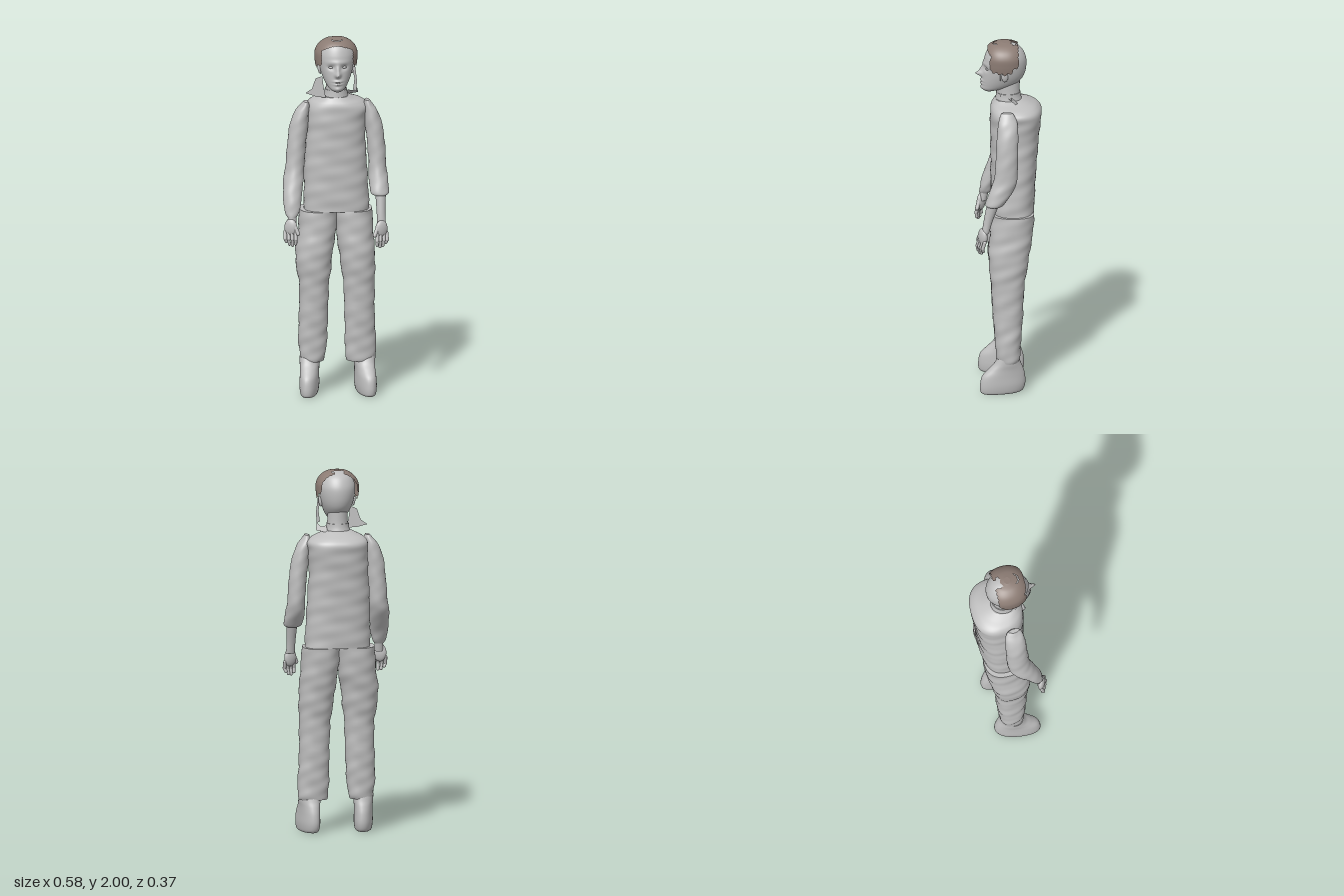
import * as THREE from 'three';

const grey = new THREE.MeshStandardMaterial({ color: 0xbfbfbf });
grey.name = 'plain grey';
const greyThin = new THREE.MeshStandardMaterial({ color: 0xbfbfbf, side: THREE.DoubleSide });
greyThin.name = 'plain grey cloth';
const brown = new THREE.MeshStandardMaterial({ color: 0x8c7c74, side: THREE.DoubleSide });
brown.name = 'hair brown';

// Smooth skin over horizontal rings. Rows rise: [y, xMin, xMax, zMin, zMax].
function loft(rows, { n = 40, sub = 6, square = 1, rule = null, keep = null } = {}) {
  const pos = [], idx = [], steps = (rows.length - 1) * sub;
  const at = (i) => rows[Math.max(0, Math.min(rows.length - 1, i))];
  const cr = (a, b, c, d, t) => 0.5 * (2 * b + (c - a) * t + (2 * a - 5 * b + 4 * c - d) * t * t
    + (3 * b - a - 3 * c + d) * t * t * t);
  const bend = (v) => Math.sign(v) * Math.abs(v) ** square;
  for (let s = 0; s <= steps; s++) {
    const i = Math.min(Math.floor(s / sub), rows.length - 2), t = s / sub - i;
    const [y, x0, x1, z0, z1] = rows[0].map((_, k) => cr(at(i - 1)[k], at(i)[k], at(i + 1)[k], at(i + 2)[k], t));
    for (let j = 0; j < n; j++) {
      const a = j / n * Math.PI * 2;
      const p = new THREE.Vector3((x0 + x1) / 2 + (x1 - x0) / 2 * bend(Math.cos(a)), y,
        (z0 + z1) / 2 + (z1 - z0) / 2 * bend(Math.sin(a)));
      if (rule) rule(p, a);
      pos.push(p.x, p.y, p.z);
    }
  }
  const point = (k) => new THREE.Vector3().fromArray(pos, k * 3);
  const tri = (a, b, c) => {
    if (!keep || keep(point(a).add(point(b)).add(point(c)).divideScalar(3))) idx.push(a, b, c);
  };
  for (let s = 0; s < steps; s++) for (let j = 0; j < n; j++) {
    const a = s * n + j, b = s * n + (j + 1) % n;
    tri(a, a + n, b);
    tri(b, a + n, b + n);
  }
  // End caps on their own vertices, so their edges stay sharp
  for (const top of [false, true]) {
    const start = top ? steps * n : 0, base = pos.length / 3, mid = new THREE.Vector3();
    for (let j = 0; j < n; j++) {
      const p = point(start + j);
      mid.addScaledVector(p, 1 / n);
      pos.push(p.x, p.y, p.z);
    }
    pos.push(mid.x, mid.y, mid.z);
    for (let j = 0; j < n; j++) {
      const a = base + j, b = base + (j + 1) % n;
      if (top) tri(base + n, b, a); else tri(base + n, a, b);
    }
  }
  const g = new THREE.BufferGeometry();
  g.setAttribute('position', new THREE.Float32BufferAttribute(pos, 3));
  g.setIndex(idx);
  g.computeVertexNormals();
  return g;
}

function add(parent, name, geometry, material = grey) {
  const m = new THREE.Mesh(geometry, material);
  m.name = name;
  parent.add(m);
  return m;
}

function capsule(parent, name, from, to, r) {
  const a = new THREE.Vector3(...from), b = new THREE.Vector3(...to), d = b.clone().sub(a);
  const m = add(parent, name, new THREE.CapsuleGeometry(r, d.length(), 5, 12));
  m.position.copy(a).add(b).multiplyScalar(0.5);
  m.quaternion.setFromUnitVectors(new THREE.Vector3(0, 1, 0), d.normalize());
}

function ball(parent, name, p, r) {
  const m = add(parent, name, new THREE.SphereGeometry(1, 24, 16));
  m.position.set(...p);
  m.scale.set(...r);
  return m;
}

// Soft cloth creases
const cloth = (amount) => (p, a) => {
  const w = amount * (Math.sin(p.y * 47 + 2 * Math.sin(a * 2)) + 0.6 * Math.sin(p.y * 83 + a * 3));
  p.x += w * Math.cos(a);
  p.z += w * Math.sin(a);
};

// Facial relief: [x, y, depth, width, height]
const relief = [
  [0, 1.815, 0.034, 0.014, 0.014], [0, 1.84, 0.017, 0.011, 0.024],
  [-0.036, 1.853, -0.013, 0.019, 0.013], [0.036, 1.853, -0.013, 0.019, 0.013],
  [0, 1.882, 0.005, 0.06, 0.012], [0, 1.778, 0.011, 0.022, 0.007],
  [0, 1.762, 0.010, 0.019, 0.007], [0, 1.77, -0.004, 0.024, 0.003], [0, 1.735, 0.007, 0.02, 0.014],
];
function sculpt(p) {
  if (p.z < 0.04) return;
  let d = 0;
  for (const [x, y, depth, w, h] of relief) {
    d += depth * Math.exp(-(((p.x - 0.01 - x) / w) ** 2) - ((p.y - y) / h) ** 2);
  }
  p.z += d;
}

function buildHead(g) {
  add(g, 'head', loft([
    [1.715, -0.01, 0.03, 0.085, 0.13], [1.73, -0.033, 0.053, 0.03, 0.147], [1.755, -0.052, 0.072, -0.035, 0.149],
    [1.79, -0.068, 0.088, -0.072, 0.147], [1.83, -0.08, 0.1, -0.09, 0.143], [1.88, -0.088, 0.108, -0.096, 0.138],
    [1.92, -0.087, 0.107, -0.09, 0.131], [1.96, -0.07, 0.09, -0.068, 0.112], [1.984, -0.04, 0.06, -0.035, 0.08],
    [1.994, -0.01, 0.03, 0.005, 0.04],
  ], { n: 112, sub: 10, rule: sculpt }));
  add(g, 'neck', loft([
    [1.64, -0.06, 0.08, -0.075, 0.075], [1.7, -0.047, 0.067, -0.06, 0.068], [1.78, -0.045, 0.065, -0.06, 0.08],
  ]));
  for (const s of [-1, 1]) {
    ball(g, 'eye', [0.01 + s * 0.036, 1.853, 0.119], [0.013, 0.007, 0.009]);
    ball(g, 'ear', [0.01 + s * 0.092, 1.825, 0.025], [0.01, 0.03, 0.018]).rotation.z = -s * 0.15;
  }
  // Open cap of hair: bare forehead, ragged lower edge, thin crown
  add(g, 'hair', loft([
    [1.81, -0.095, 0.115, -0.098, 0.14], [1.85, -0.104, 0.122, -0.1, 0.142], [1.89, -0.109, 0.126, -0.1, 0.142],
    [1.93, -0.106, 0.124, -0.096, 0.139], [1.965, -0.085, 0.105, -0.076, 0.122], [1.99, -0.05, 0.07, -0.042, 0.09],
    [2.0, -0.01, 0.03, 0.005, 0.04],
  ], {
    n: 160, sub: 10, square: 0.92,
    keep: (p) => {
      const x = Math.abs(p.x - 0.01), rag = 0.006 * Math.sin(p.z * 190) + 0.004 * Math.sin(p.x * 330);
      const back = p.z < -0.052 + rag + Math.max(0, 1.9 - p.y) * 0.8;
      const low = p.y < 1.84 + rag + Math.abs(p.z - 0.03) * 0.3;
      const forehead = p.z > 0.05 && x < 0.085 && p.y < 1.968 - 3.5 * x * x;
      const front = p.z > 0.118 + rag * 0.3;
      const crown = x < 0.028 + rag && p.z < -0.018 + x * 0.5;
      const crescent = Math.abs(Math.hypot(x, (p.z - 0.05) * 0.9) - 0.032) < 0.0025 && p.z > 0.065;
      return !(back || low || forehead || front || crown || crescent);
    },
  }), brown);
}

// A sheet from a short outline of [x, y], curved gently in z
function sheet(parent, name, outline, zAt) {
  const s = new THREE.Shape(outline.map(([x, y]) => new THREE.Vector2(x, y)));
  const geo = new THREE.ShapeGeometry(s), p = geo.attributes.position;
  for (let i = 0; i < p.count; i++) p.setZ(i, zAt(p.getX(i), p.getY(i)));
  geo.computeVertexNormals();
  add(parent, name, geo, greyThin);
}

function buildTorso(g) {
  add(g, 'torso', loft([
    [1.03, -0.165, 0.195, -0.138, 0.098], [1.15, -0.163, 0.188, -0.143, 0.1], [1.3, -0.16, 0.18, -0.152, 0.1],
    [1.45, -0.15, 0.172, -0.164, 0.102], [1.55, -0.148, 0.178, -0.174, 0.104], [1.605, -0.147, 0.185, -0.178, 0.102],
    [1.635, -0.128, 0.158, -0.155, 0.095], [1.655, -0.09, 0.11, -0.115, 0.085], [1.67, -0.06, 0.08, -0.075, 0.075],
  ], { n: 64, sub: 10, square: 0.8, rule: cloth(0.0016) }));
  add(g, 'collarBand', loft([
    [1.655, -0.06, 0.08, -0.075, 0.075], [1.685, -0.053, 0.073, -0.066, 0.072], [1.708, -0.051, 0.071, -0.063, 0.07],
  ]));
  // Loose collar points and strands beside the neck
  sheet(g, 'collarFlapRight', [[-0.05, 1.67], [-0.1, 1.672], [-0.16, 1.69], [-0.125, 1.715], [-0.105, 1.775],
    [-0.07, 1.79], [-0.062, 1.73]], (x) => 0.05 + (x + 0.1) * 0.3);
  sheet(g, 'collarFlapLeft', [[0.07, 1.66], [0.135, 1.675], [0.125, 1.712], [0.105, 1.69], [0.075, 1.695]],
    (x, y) => -0.05 + (y - 1.66) * 1.2);
  sheet(g, 'sideStrand', [[0.1, 1.71], [0.118, 1.7], [0.122, 1.76], [0.112, 1.84], [0.095, 1.84], [0.108, 1.77]],
    () => 0.05);
}

// Hand with side s; x, y, z is the wrist
function buildHand(parent, s, x, y, z) {
  const hand = new THREE.Group();
  hand.name = s > 0 ? 'leftHand' : 'rightHand';
  hand.position.set(x, y, z);
  const palm = ball(hand, 'palm', [0, -0.055, 0.012], [0.038, 0.05, 0.02]);
  palm.rotation.y = s * 0.5;
  for (let i = 0; i < 4; i++) {
    const fx = s * (0.03 - i * 0.018), fz = 0.002 + i * 0.009, drop = [0.018, 0.004, 0, 0.01][i];
    capsule(hand, 'finger', [fx, -0.078, fz], [fx * 1.05, -0.115, fz + 0.012], 0.0098);
    capsule(hand, 'fingertip', [fx * 1.05, -0.115, fz + 0.012], [fx * 0.9 - s * 0.003, -0.15 + drop, fz + 0.008], 0.0085);
  }
  capsule(hand, 'thumb', [-s * 0.018, -0.035, 0.022], [-s * 0.038, -0.085, 0.036], 0.011);
  parent.add(hand);
}

function buildArms(g) {
  add(g, 'rightSleeve', loft([
    [1.015, -0.265, -0.215, 0.1, 0.155], [1.04, -0.278, -0.2, 0.085, 0.153], [1.1, -0.285, -0.188, 0.055, 0.142],
    [1.2, -0.283, -0.172, -0.015, 0.11], [1.27, -0.27, -0.165, -0.038, 0.088], [1.38, -0.26, -0.158, -0.043, 0.078],
    [1.5, -0.246, -0.145, -0.045, 0.072], [1.58, -0.218, -0.14, -0.043, 0.066], [1.62, -0.185, -0.138, -0.03, 0.055],
    [1.64, -0.168, -0.145, -0.015, 0.045],
  ], { rule: cloth(0.001) }));
  add(g, 'leftSleeve', loft([
    [1.125, 0.21, 0.283, 0.05, 0.13], [1.14, 0.193, 0.295, 0.032, 0.136], [1.2, 0.187, 0.292, -0.012, 0.115],
    [1.27, 0.188, 0.284, -0.038, 0.09], [1.38, 0.182, 0.279, -0.043, 0.078], [1.5, 0.17, 0.264, -0.045, 0.072],
    [1.58, 0.163, 0.237, -0.043, 0.066], [1.62, 0.162, 0.21, -0.03, 0.055], [1.645, 0.167, 0.192, -0.015, 0.045],
  ], { rule: cloth(0.001) }));
  add(g, 'leftForearm', loft([
    [0.97, 0.226, 0.274, 0.115, 0.155], [1.04, 0.224, 0.272, 0.095, 0.145], [1.15, 0.218, 0.278, 0.055, 0.125],
  ]));
  add(g, 'rightWrist', loft([[0.97, -0.266, -0.218, 0.115, 0.155], [1.04, -0.262, -0.214, 0.1, 0.148]]));
  buildHand(g, -1, -0.248, 1.015, 0.132);
  buildHand(g, 1, 0.248, 1.0, 0.138);
}

function buildLegs(g) {
  add(g, 'rightTrouserLeg', loft([
    [0.18, -0.18, -0.06, -0.052, 0.07], [0.21, -0.188, -0.05, -0.058, 0.076], [0.3, -0.197, -0.04, -0.063, 0.08],
    [0.42, -0.194, -0.035, -0.072, 0.09], [0.6, -0.192, -0.03, -0.08, 0.1], [0.7, -0.207, -0.018, -0.095, 0.11],
    [0.8, -0.212, -0.008, -0.11, 0.115], [0.9, -0.197, 0.01, -0.126, 0.108], [1.03, -0.19, 0.02, -0.138, 0.1],
  ], { sub: 8, square: 0.88, rule: cloth(0.0018) }));
  add(g, 'leftTrouserLeg', loft([
    [0.18, 0.067, 0.222, -0.052, 0.07], [0.21, 0.062, 0.229, -0.058, 0.076], [0.3, 0.058, 0.228, -0.063, 0.08],
    [0.42, 0.057, 0.222, -0.072, 0.09], [0.6, 0.051, 0.221, -0.08, 0.1], [0.7, 0.038, 0.223, -0.095, 0.11],
    [0.8, 0.025, 0.222, -0.11, 0.115], [0.9, 0.012, 0.215, -0.126, 0.108], [1.03, 0.002, 0.21, -0.138, 0.1],
  ], { sub: 8, square: 0.88, rule: cloth(0.0018) }));
  // Shoes, toes turned slightly outward
  for (const s of [-1, 1]) {
    const c = s > 0 ? 0.163 : -0.132;
    add(g, s > 0 ? 'leftShoe' : 'rightShoe', loft([
      [0, c - 0.04, c + 0.04, -0.055, 0.15], [0.012, c - 0.048, c + 0.048, -0.075, 0.161],
      [0.05, c - 0.053, c + 0.053, -0.086, 0.163], [0.1, c - 0.052, c + 0.052, -0.083, 0.152],
      [0.14, c - 0.052, c + 0.052, -0.072, 0.115], [0.17, c - 0.055, c + 0.055, -0.06, 0.085],
      [0.205, c - 0.056, c + 0.056, -0.05, 0.066],
    ], { square: 0.9, rule: (p) => { p.x += s * 0.16 * p.z; } }));
  }
}

export function createModel() {
  const model = new THREE.Group();
  model.name = 'standingFigure';
  for (const [name, build] of [['headGroup', buildHead], ['torsoGroup', buildTorso],
    ['armsGroup', buildArms], ['legsGroup', buildLegs]]) {
    const g = new THREE.Group();
    g.name = name;
    build(g);
    model.add(g);
  }
  return model;
}
